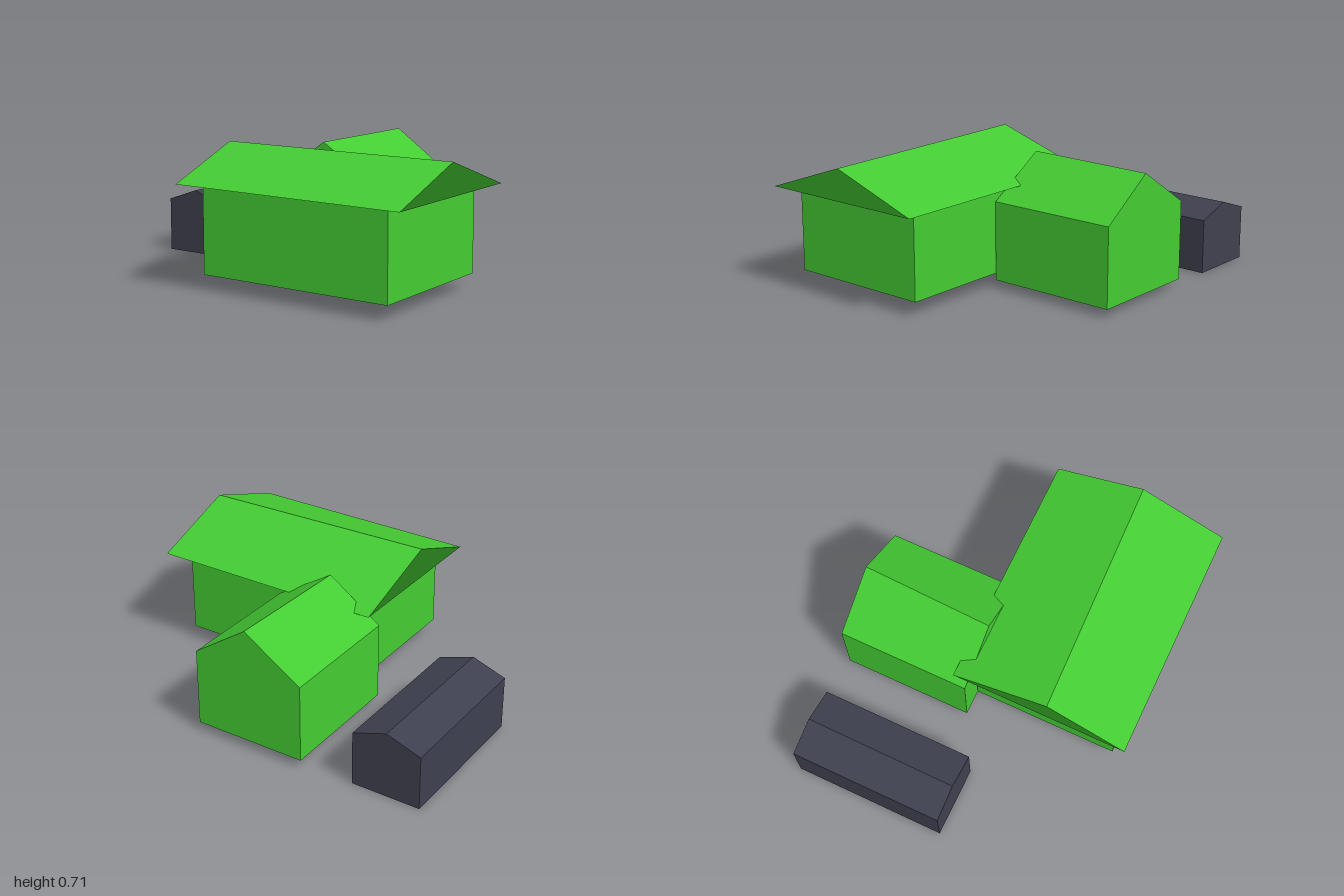
import * as THREE from 'three';

const green = new THREE.MeshStandardMaterial({ color: 0x44cc33 });
const slate = new THREE.MeshStandardMaterial({ color: 0x3f404f });

// Solid between two matching end loops; every polygon keeps one flat normal.
// "near" runs counter-clockwise as seen from outside its end.
function loft(name, near, far, material) {
  const faces = [near, [far[0], ...far.slice(1).reverse()]];
  near.forEach((p, i) => {
    const j = (i + 1) % near.length;
    faces.push([p, far[i], far[j], near[j]]);
  });
  const positions = [], normals = [];
  for (const face of faces) {
    const pts = face.map((p) => new THREE.Vector3(...p));
    const normal = new THREE.Vector3();
    for (let k = 1; k < pts.length - 1; k++) {
      const a = pts[k].clone().sub(pts[0]);
      normal.add(a.cross(pts[k + 1].clone().sub(pts[0])));
    }
    normal.normalize();
    for (let k = 1; k < pts.length - 1; k++) {
      for (const p of [pts[0], pts[k], pts[k + 1]]) {
        positions.push(p.x, p.y, p.z);
        normals.push(normal.x, normal.y, normal.z);
      }
    }
  }
  const geometry = new THREE.BufferGeometry();
  geometry.setAttribute('position', new THREE.Float32BufferAttribute(positions, 3));
  geometry.setAttribute('normal', new THREE.Float32BufferAttribute(normals, 3));
  const mesh = new THREE.Mesh(geometry, material);
  mesh.name = name;
  return mesh;
}

// Gabled building with its ridge along x and no overhang
function gabled(name, { x, z, y, ridgeY, ridgeZ }, material) {
  const end = (px, rz) => [
    [px, y[0], z[1]], [px, y[0], z[0]], [px, y[1], z[0]], [px, ridgeY, rz], [px, y[1], z[1]],
  ];
  return loft(name, end(x[1], ridgeZ[1]), end(x[0], ridgeZ[0]), material);
}

export function createModel() {
  const model = new THREE.Group();
  model.name = 'farmBuildings';

  // Main house walls
  const walls = new THREE.Mesh(new THREE.BoxGeometry(0.81, 0.45, 1.1), green);
  walls.name = 'mainHouseWalls';
  walls.position.set(-0.325, 0.305, 0.34);

  // Overhanging roof, with soffits sloping down to the wall tops
  const roofEnd = (eaveZ, wallZ, ridgeX) => [
    [-0.81, 0.545, eaveZ], [-0.73, 0.53, wallZ], [0.08, 0.53, wallZ],
    [0.16, 0.545, eaveZ], [ridgeX, 0.715, eaveZ],
  ];
  const roof = loft('mainHouseRoof', roofEnd(1, 0.89, -0.33), roofEnd(-0.32, -0.21, -0.37), green);

  // Side wing and detached shed
  const wing = gabled('sideWing', {
    x: [0.085, 0.81], z: [-0.34, 0.29], y: [0.045, 0.47], ridgeY: 0.68, ridgeZ: [-0.04, -0.015],
  }, green);
  const shed = gabled('shed', {
    x: [-0.07, 0.775], z: [-1, -0.62], y: [0, 0.295], ridgeY: 0.36, ridgeZ: [-0.815, -0.81],
  }, slate);

  model.add(walls, roof, wing, shed);
  return model;
}
